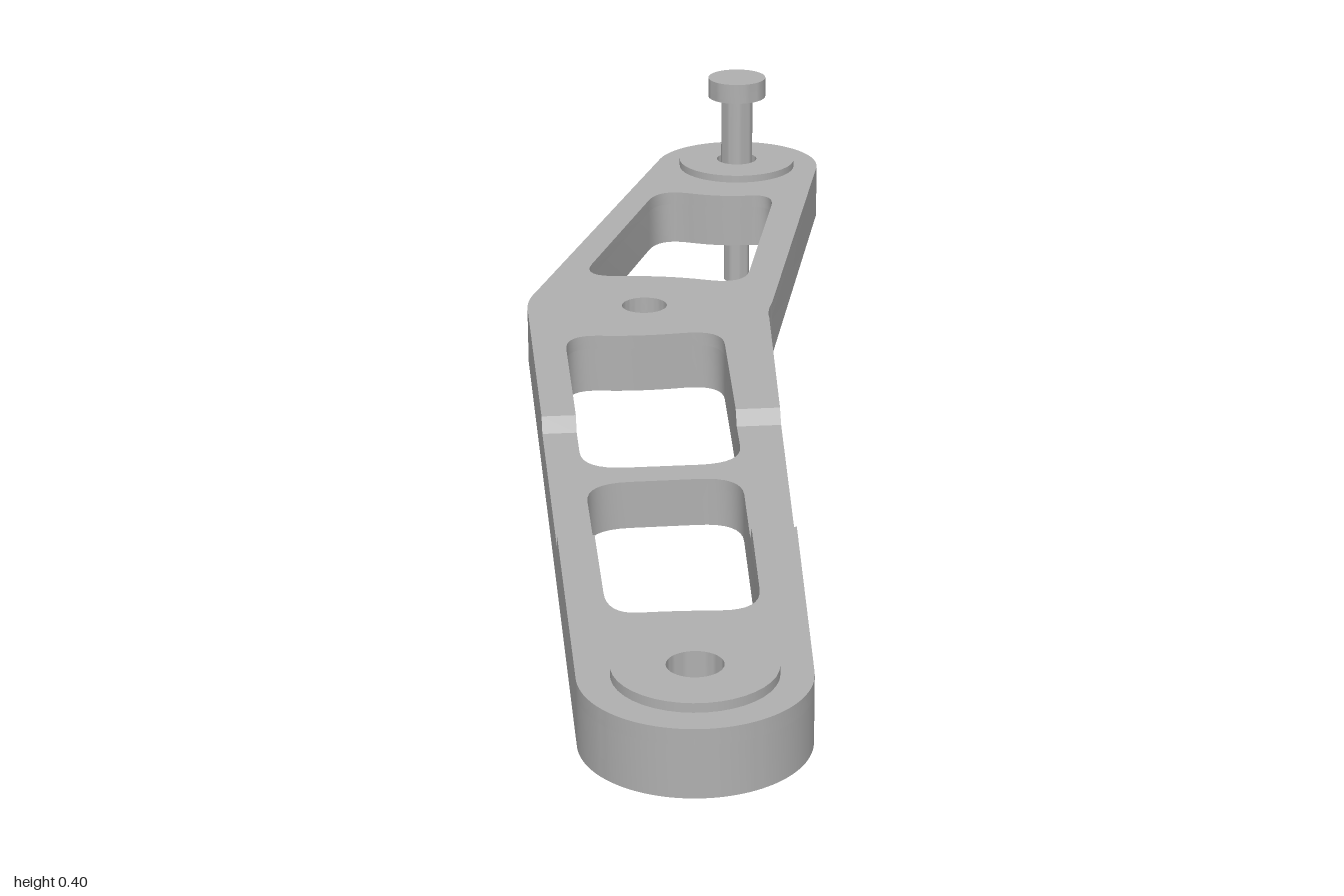
import * as THREE from 'three';
import { toCreasedNormals } from 'three/addons/utils/BufferGeometryUtils.js';

const steel = new THREE.MeshStandardMaterial({ color: 0xb0b0b0 });
steel.name = 'steel grey';

const V = (x, y) => new THREE.Vector2(x, y);
const END_A = V(-0.635, -0.85), END_B = V(0.635, 0.85), HUB = V(0.065, 0.31);
const Y0 = 0.13, Y_FLOOR = 0.203, Y1 = 0.225; // bar underside, recess floor, top
const ALONG = V(0.49, 0.872); // direction of the long arm in plan

function mesh(name, geometry) {
  const m = new THREE.Mesh(toCreasedNormals(geometry, 0.5), steel);
  m.name = name;
  return m;
}

// Plan outline of the bent bar, counterclockwise
function outline() {
  const s = new THREE.Shape();
  const rad = THREE.MathUtils.degToRad;
  s.moveTo(0.20, 0.145);
  s.quadraticCurveTo(0.215, 0.172, 0.246, 0.20);
  s.absarc(END_B.x, END_B.y, 0.15, rad(-45), rad(131), false);
  s.lineTo(-0.045, 0.47);
  s.quadraticCurveTo(-0.078, 0.445, -0.10, 0.41);
  s.absarc(END_A.x, END_A.y, 0.15, rad(151), rad(326.6), false);
  s.closePath();
  return s.getPoints(24).slice(0, -1);
}

// Polygon with every corner softened by a curve
function rounded(corners, trim = 0.065) {
  const p = corners.map(([x, y]) => V(x, y));
  const out = [];
  p.forEach((c, i) => {
    const toward = (q) => c.clone().add(q.clone().sub(c).setLength(Math.min(trim, q.distanceTo(c) * 0.48)));
    const a = toward(p[(i + p.length - 1) % p.length]);
    const b = toward(p[(i + 1) % p.length]);
    out.push(...new THREE.QuadraticBezierCurve(a, c, b).getPoints(8));
  });
  return out;
}

const circle = (c, r) => new THREE.Path().absarc(c.x, c.y, r, 0, Math.PI * 2, false).getPoints(32).slice(0, -1);

// Windows, counterclockwise
const farWindow = rounded([[0.262, 0.30], [0.59, 0.665], [0.50, 0.71], [0.43, 0.81], [0.056, 0.49], [0.177, 0.41]]);
const midWindow = rounded([[-0.161, -0.288], [0.103, 0.14], [-0.024, 0.193], [-0.119, 0.267], [-0.368, -0.172]]);
const nearWindow = rounded([[-0.458, -0.749], [-0.193, -0.33], [-0.394, -0.22], [-0.632, -0.643], [-0.553, -0.685]]);

function slab(points, holes, y0, y1) {
  const shape = new THREE.Shape(points);
  shape.holes = holes.map((h) => new THREE.Path(h));
  return new THREE.ExtrudeGeometry(shape, { depth: y1 - y0, bevelEnabled: false })
    .rotateX(-Math.PI / 2)
    .translate(0, y0, 0);
}

// The open run of a closed loop lying beyond a cut across the arm
function runBeyond(loop, cut, sign) {
  const side = (p) => sign * (p.dot(ALONG) - cut);
  const n = loop.length;
  const start = loop.findIndex((p, i) => side(p) < 0 && side(loop[(i + 1) % n]) >= 0);
  const cross = (a, b) => a.clone().lerp(b, side(a) / (side(a) - side(b)));
  const run = [cross(loop[start], loop[(start + 1) % n])];
  for (let k = 1; k <= n; k++) {
    const p = loop[(start + k) % n];
    if (side(p) < 0) {
      run.push(cross(loop[(start + k - 1) % n], p));
      break;
    }
    run.push(p);
  }
  return run;
}

// Raised top layer at one end of the recess, with a sloping step
function raisedLayer(loop, window, cut, sign, holes) {
  const points = [...runBeyond(loop, cut, sign), ...runBeyond(window, cut, sign).reverse()];
  const geo = slab(points, holes, Y_FLOOR, Y1);
  const pos = geo.attributes.position;
  for (let i = 0; i < pos.count; i++) {
    const s = pos.getX(i) * ALONG.x - pos.getZ(i) * ALONG.y;
    if (pos.getY(i) > Y1 - 0.001 && Math.abs(s - cut) < 1e-4) {
      pos.setX(i, pos.getX(i) + sign * 0.016 * ALONG.x);
      pos.setZ(i, pos.getZ(i) - sign * 0.016 * ALONG.y);
    }
  }
  return geo;
}

function turned(name, profile, at) {
  const m = mesh(name, new THREE.LatheGeometry(profile.map(([r, y]) => V(r, y)), 40));
  m.position.set(at.x, 0, -at.y);
  return m;
}

export function createModel() {
  const model = new THREE.Group();
  model.name = 'linkArm';

  // Bar with its windows, hub bore and bushing seats
  const bar = outline();
  const seatA = circle(END_A, 0.09), seatB = circle(END_B, 0.09), bore = circle(HUB, 0.037);
  model.add(mesh('bar', slab(bar, [farWindow, midWindow, nearWindow, seatA, seatB, bore], Y0, Y_FLOOR)));
  model.add(mesh('upperBarTop', raisedLayer(bar, midWindow, -0.188, 1, [farWindow, seatB, bore])));
  model.add(mesh('lowerBarTop', raisedLayer(bar, nearWindow, -0.6, -1, [seatA])));

  // Flanged bushings at both ends
  for (const [name, at] of [['nearBushing', END_A], ['farBushing', END_B]]) {
    model.add(turned(name, [[0.037, 0.12], [0.107, 0.12], [0.107, 0.238], [0.037, 0.238], [0.037, 0.12]], at));
  }

  // Stepped bolt standing in the far bushing
  model.add(turned('bolt', [
    [0, 0], [0.024, 0], [0.024, 0.09], [0.029, 0.09], [0.029, 0.36],
    [0.053, 0.36], [0.053, 0.396], [0, 0.396],
  ], END_B));
  return model;
}
